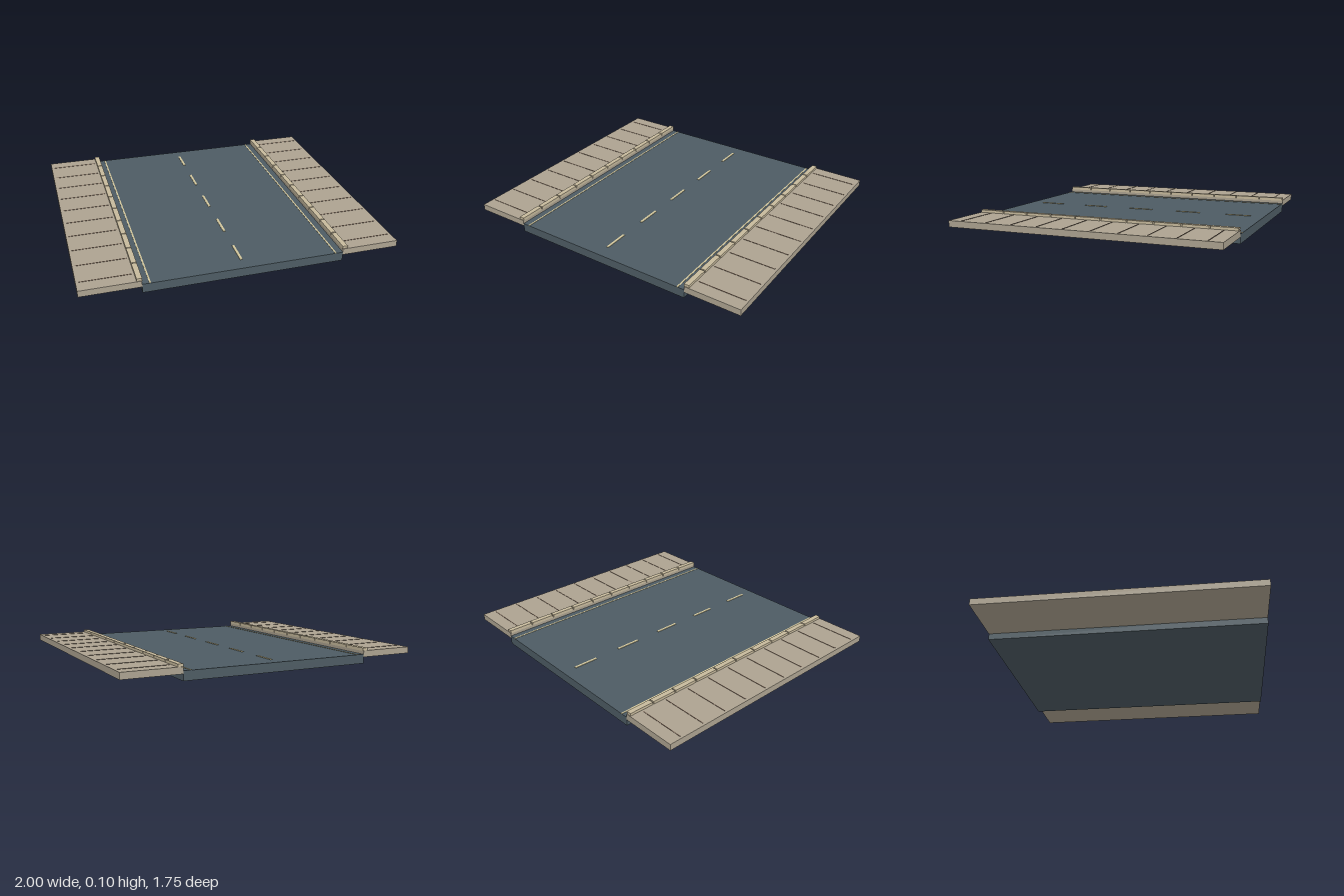
import * as THREE from 'three';

const LENGTH = 1.75;
const STEP = LENGTH / 10;

const material = (color) => new THREE.MeshStandardMaterial({ color });

export function createModel() {
  const model = new THREE.Group();
  const asphalt = material(0x4d5b63);
  const paving = material(0xaca290);
  const kerbStone = material(0xc6b99c);
  const paint = material(0xcfc49a);
  const joint = material(0x7d6858);

  // Box given by its limits on x and y, and its centre and length on z
  function box(name, mat, x0, x1, y0, y1, z, length, parent = model) {
    const mesh = new THREE.Mesh(new THREE.BoxGeometry(x1 - x0, y1 - y0, length), mat);
    mesh.name = name;
    mesh.position.set((x0 + x1) / 2, (y0 + y1) / 2, z);
    parent.add(mesh);
  }

  // Roadway and centre dashes
  box('roadSlab', asphalt, -0.63, 0.63, 0, 0.058, 0, LENGTH);
  for (let i = -2; i <= 2; i++) {
    box('centreDash', paint, -0.008, 0.008, 0.056, 0.061, i * 2 * STEP, 0.168);
  }

  for (const side of [1, -1]) {
    const group = new THREE.Group();
    group.name = side > 0 ? 'leftSide' : 'rightSide';
    model.add(group);
    const add = (name, mat, a, b, y0, y1, z, length) =>
      box(name, mat, Math.min(a * side, b * side), Math.max(a * side, b * side), y0, y1, z, length, group);

    // Sidewalk slab and painted edge line
    add('sidewalk', paving, 0.63, 1, 0.04, 0.081, 0, LENGTH);
    add('edgeLine', paint, 0.578, 0.588, 0.056, 0.06, 0, LENGTH);

    // Kerb stones with small gaps, and a paving joint level with each stone's middle
    for (let i = 0; i < 10; i++) {
      const z = (i - 4.5) * STEP;
      add('kerbStone', kerbStone, 0.628, 0.661, 0.078, 0.098, z, STEP - 0.008);
      add('pavingJoint', joint, 0.674, 0.983, 0.079, 0.083, z, 0.005);
    }
  }
  return model;
}
